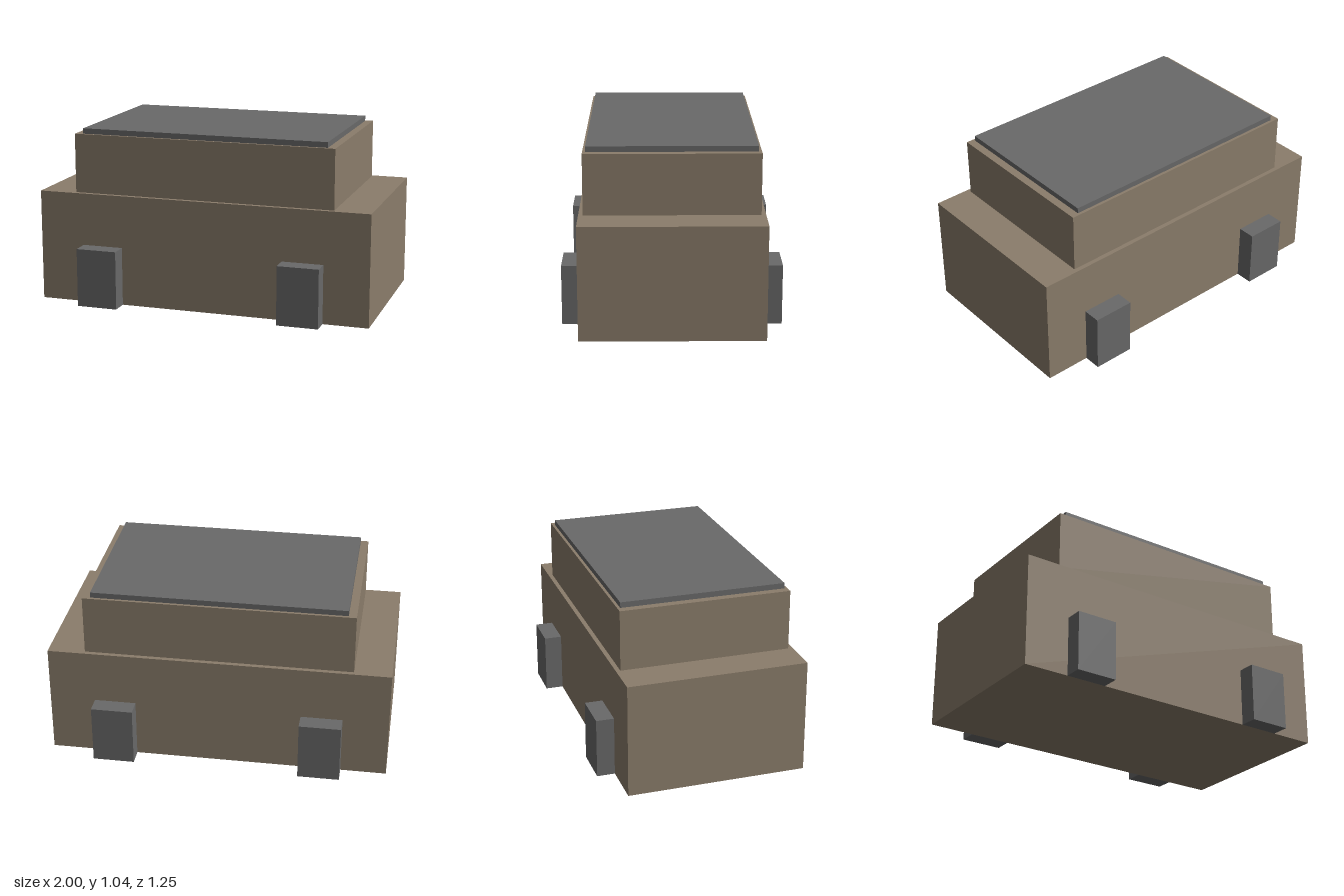
import * as THREE from 'three';

export function createModel() {
  const group = new THREE.Group();
  const tan = new THREE.MeshStandardMaterial({ color: 0x8b7d6b });
  tan.name = 'tan body';
  const grey = new THREE.MeshStandardMaterial({ color: 0x696969 });
  grey.name = 'dark grey';

  // Box placed by its centre in x and z, and by its base in y
  function addBox(name, material, [w, h, d], [x, base, z]) {
    const mesh = new THREE.Mesh(new THREE.BoxGeometry(w, h, d), material);
    mesh.name = name;
    mesh.position.set(x, base + h / 2, z);
    group.add(mesh);
  }

  // Stacked hull, cabin and roof plate
  addBox('lowerBody', tan, [2, 0.66, 1.042], [0, 0, 0]);
  addBox('cabin', tan, [1.566, 0.35, 0.99], [0, 0.66, 0]);
  addBox('roofPlate', grey, [1.474, 0.032, 0.956], [0, 1.01, 0]);

  // Four square wheel blocks on the sides
  for (const x of [-1, 1]) {
    for (const z of [-1, 1]) {
      const name = (z > 0 ? 'front' : 'back') + (x > 0 ? 'Left' : 'Right') + 'Wheel';
      addBox(name, grey, [0.244, 0.348, 0.104], [x * 0.61, 0, z * 0.573]);
    }
  }
  return group;
}
